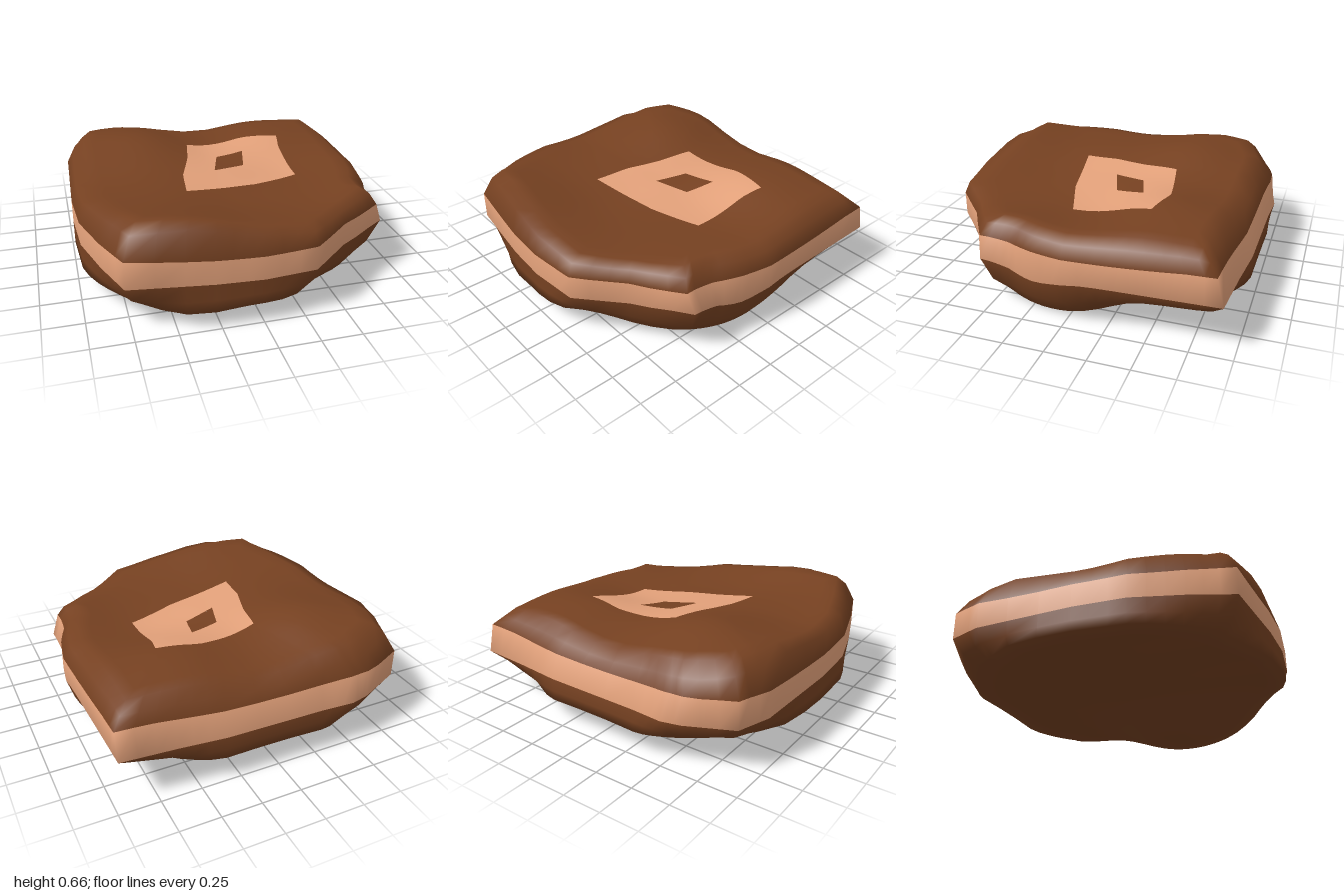
import * as THREE from 'three';

const { lerp, clamp, smoothstep } = THREE.MathUtils;

// Plan outline [x, z], counter-clockwise seen from above
const OUTLINE = [
  [-0.78, 0.91], [-0.28, 0.98], [0, 0.998], [0.32, 0.97], [0.58, 0.74], [0.92, 0.54], [0.91, 0.36],
  [0.95, 0.2], [0.985, 0], [0.975, -0.3], [0.965, -0.6], [0.955, -0.92], [0.62, -0.945], [0.33, -0.975],
  [-0.3, -0.985], [-0.5, -0.998], [-0.62, -0.97], [-0.9, -0.84], [-0.97, -0.63], [-0.99, 0], [-0.97, 0.33],
  [-0.88, 0.64],
];

// Heights on an even grid: rows run back to front, columns from -x to +x
const TOP = [
  [0.63, 0.585, 0.52, 0.57, 0.56],
  [0.625, 0.66, 0.565, 0.60, 0.575],
  [0.56, 0.585, 0.54, 0.505, 0.545],
  [0.595, 0.575, 0.52, 0.51, 0.56],
  [0.645, 0.65, 0.57, 0.515, 0.51],
];
const BOTTOM = [
  [0.14, 0.14, 0.15, 0.14, 0.14],
  [0.135, 0.125, 0.13, 0.145, 0.14],
  [0.13, 0.11, 0.10, 0.0, 0.03],
  [0.12, 0.09, 0.11, 0.04, 0.03],
  [0.12, 0.09, 0.13, 0.12, 0.12],
];

// Smooth interpolation along five evenly spaced values from -0.9 to 0.9
function spline(v, t) {
  const u = clamp((t + 0.9) / 0.45, 0, 3.9999);
  const i = Math.floor(u), f = u - i;
  const p = (k) => v[clamp(k, 0, 4)];
  const [a, b, c, d] = [p(i - 1), p(i), p(i + 1), p(i + 2)];
  return b + 0.5 * f * (c - a + f * (2 * a - 5 * b + 4 * c - d + f * (3 * (b - c) + d - a)));
}
const height = (grid, x, z) => Math.max(0, spline(grid.map((row) => spline(row, x)), z));

// Splits every edge of a closed outline into n pieces
function subdivide(pts, n) {
  return pts.flatMap(([x, z], i) => {
    const [x2, z2] = pts[(i + 1) % pts.length];
    return Array.from({ length: n }, (_, k) => [lerp(x, x2, k / n), lerp(z, z2, k / n)]);
  });
}

// Skins a list of equally long closed loops
function loft(loops) {
  const n = loops[0].length, index = [];
  for (let k = 0; k < loops.length - 1; k++) {
    for (let i = 0; i < n; i++) {
      const j = (i + 1) % n, a = k * n + i, b = k * n + j, c = b + n, d = a + n;
      index.push(a, b, c, a, c, d);
    }
  }
  const g = new THREE.BufferGeometry();
  g.setAttribute('position', new THREE.Float32BufferAttribute(loops.flat(2), 3));
  g.setIndex(index);
  g.computeVertexNormals();
  return g;
}

export function createModel() {
  const group = new THREE.Group();
  const brown = new THREE.MeshStandardMaterial({ color: 0x764121 });
  const tan = new THREE.MeshStandardMaterial({ color: 0xe3a17a });
  const add = (name, geometry, material) => {
    const mesh = new THREE.Mesh(geometry, material);
    mesh.name = name;
    group.add(mesh);
  };

  const plan = subdivide(OUTLINE, 3);
  const bump = (x, z, cx, cz, r) => Math.exp(-((x - cx) ** 2 + (z - cz) ** 2) / (r * r));
  const bandLow = (x, z) => 0.285 + 0.03 * bump(x, z, 0.92, 0.56, 0.2) - 0.045 * bump(x, z, 0.95, 0.2, 0.2);
  const bandHigh = (x, z) => 0.43 + 0.03 * clamp((x * x + z * z - 0.95) * 2, 0, 1);

  // Underside rim: the plan with its corners and front right side rounded off
  const rim = plan.map(([x, z]) => {
    const radius = 1.04 - 0.17 * smoothstep(x, 0, 0.5) * smoothstep(z, -0.9, -0.3);
    const s = Math.min(1, radius / Math.hypot(x, z));
    return [x * s, z * s];
  });
  const under = [0.001, 0.2, 0.4, 0.6, 0.75, 0.88, 1].map((s) =>
    rim.map(([x, z]) => [x * s, height(BOTTOM, x * s, z * s), z * s]));
  // Wall from the rim up to the band
  under.push(plan.map(([x, z], i) => {
    const [rx, rz] = rim[i];
    return [lerp(rx, x, 0.62), lerp(height(BOTTOM, rx, rz), bandLow(x, z), 0.42), lerp(rz, z, 0.62)];
  }));

  // Edge band: its upper rim leans in at the back and at the front right notch
  const low = plan.map(([x, z]) => [x, bandLow(x, z), z]);
  const high = plan.map(([x, z]) => {
    const notch = bump(x, z, 0.92, 0.5, 0.2);
    const back = smoothstep(-z, 0.8, 0.94) * smoothstep(x, -0.75, -0.45);
    return [x - 0.05 * notch, bandHigh(x, z), z + 0.045 * back + 0.02 * notch];
  });

  // Top: a shoulder, gentler at the back, right and corners, then the wavy surface
  const upper = [high.map(([x, y, z]) => {
    const slope = Math.max(smoothstep(-z, 0.75, 0.92), 0.6 * smoothstep(x, 0.6, 0.9));
    const corner = smoothstep(Math.hypot(x, z), 1.02, 1.2);
    const s = 0.965 - 0.025 * Math.max(slope, corner);
    return [x * s, lerp(y, height(TOP, x, z), 0.85 - 0.38 * Math.max(slope, 0.5 * corner)), z * s];
  })];
  for (const s of [0.88, 0.8, 0.7, 0.6, 0.5, 0.4, 0.3, 0.2, 0.1, 0.001]) {
    upper.push(high.map(([x, , z]) => [x * s, height(TOP, x * s, z * s), z * s]));
  }

  // One smooth skin, divided into three parts that share its normals
  const skin = loft([...under, low, high, ...upper]);
  const row = plan.length * 6, all = Array.from(skin.index.array);
  const slice = (from, to) => {
    const g = skin.clone();
    g.setIndex(all.slice(from * row, to * row));
    return g;
  };
  const u = under.length;
  add('underside', slice(0, u), brown);
  add('edgeBand', slice(u, u + 1), tan);
  add('topSurface', slice(u + 1, u + 1 + upper.length), brown);

  // Pale four-sided ring lying on the top; each side follows its own short path
  const outerSides = [
    [[-0.3, 0.315], [0.17, 0.23], [0.485, 0.12]],
    [[0.485, 0.12], [0.49, -0.25], [0.52, -0.39]],
    [[0.52, -0.39], [0.26, -0.44], [-0.15, -0.37]],
    [[-0.15, -0.37], [-0.19, -0.16], [-0.275, 0.09], [-0.3, 0.315]],
  ];
  const inner = subdivide([[-0.045, 0.015], [0.175, -0.06], [0.22, -0.25], [0.02, -0.19]], 12);
  const outer = outerSides.flatMap((side) => {
    const path = new THREE.CurvePath();
    for (let i = 0; i < side.length - 1; i++) {
      path.add(new THREE.LineCurve(new THREE.Vector2(...side[i]), new THREE.Vector2(...side[i + 1])));
    }
    return Array.from({ length: 12 }, (_, i) => path.getPoint(i / 12).toArray());
  });
  const rings = [];
  for (let k = 0; k <= 8; k++) {
    rings.push(outer.map(([x, z], i) => {
      const px = lerp(x, inner[i][0], k / 8), pz = lerp(z, inner[i][1], k / 8);
      return [px, height(TOP, px, pz) + 0.006, pz];
    }));
  }
  add('topRingMark', loft(rings), new THREE.MeshStandardMaterial({ color: 0xe3a17a, side: THREE.DoubleSide }));

  return group;
}
